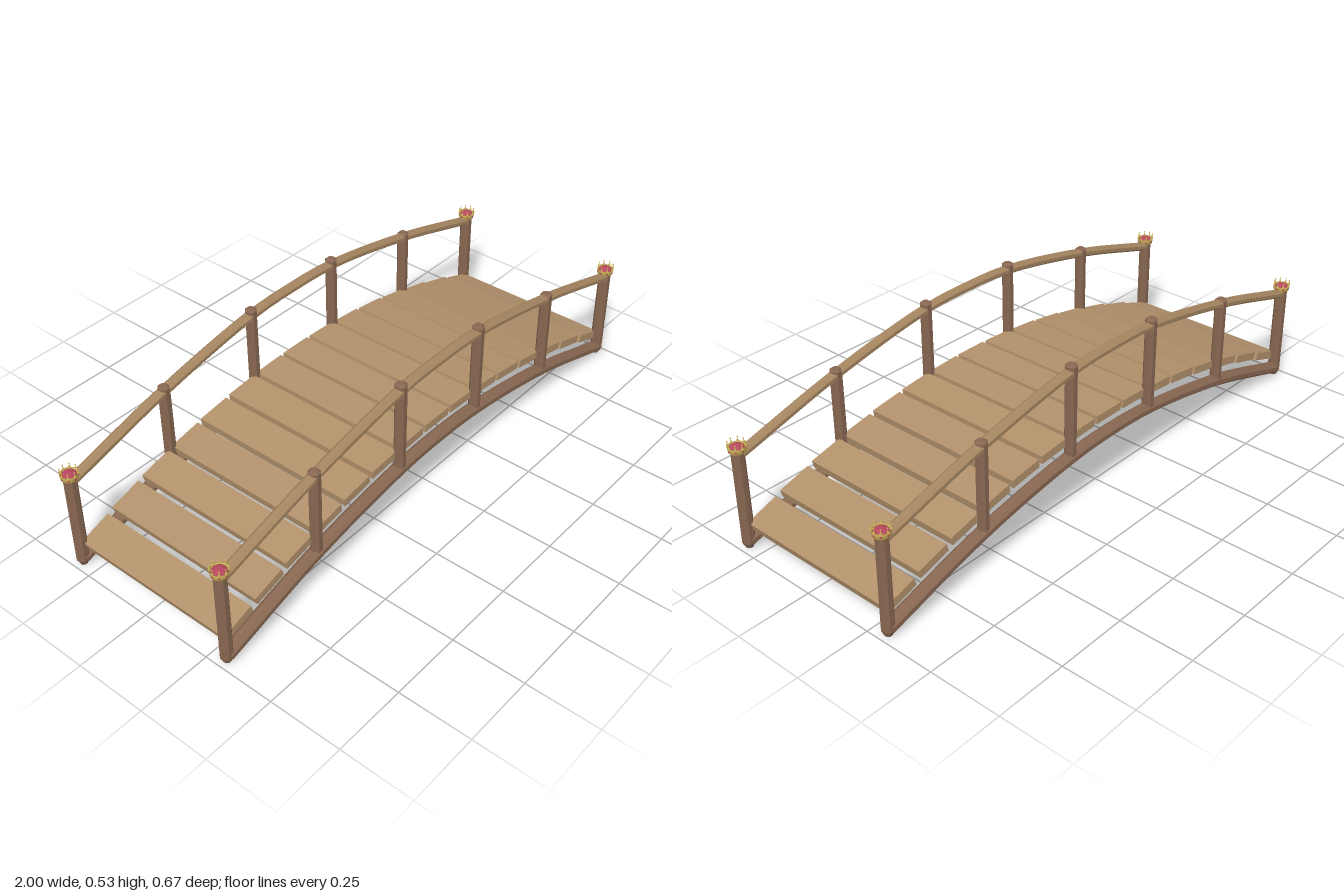
import * as THREE from 'three';

const mat = (name, color) => {
  const m = new THREE.MeshStandardMaterial({ color });
  m.name = name;
  return m;
};

// Split the faces apart so every facet is flat
const flat = (g) => {
  const out = g.index ? g.toNonIndexed() : g;
  out.computeVertexNormals();
  return out;
};

const add = (parent, name, geometry, material, x = 0, y = 0, z = 0) => {
  const mesh = new THREE.Mesh(geometry, material);
  mesh.name = name;
  mesh.position.set(x, y, z);
  parent.add(mesh);
  return mesh;
};

const OCT = Math.cos(Math.PI / 8);

// Octagonal bar swept along a curve in the xy plane
function bar(curve, halfHeight, halfWidth, steps = 30) {
  const pos = [], idx = [], sides = 8;
  for (let i = 0; i <= steps; i++) {
    const p = curve.getPointAt(i / steps), t = curve.getTangentAt(i / steps);
    for (let j = 0; j < sides; j++) {
      const a = ((j + 0.5) / sides) * Math.PI * 2;
      const n = (Math.cos(a) * halfHeight) / OCT;
      pos.push(p.x - t.y * n, p.y + t.x * n, (Math.sin(a) * halfWidth) / OCT);
    }
  }
  for (let i = 0; i < steps; i++) {
    for (let j = 0; j < sides; j++) {
      const a = i * sides + j, b = i * sides + ((j + 1) % sides);
      idx.push(a, b, b + sides, a, b + sides, a + sides);
    }
  }
  const last = steps * sides;
  for (let j = 1; j < sides - 1; j++) {
    idx.push(0, j + 1, j, last, last + j, last + j + 1);
  }
  const g = new THREE.BufferGeometry();
  g.setAttribute('position', new THREE.Float32BufferAttribute(pos, 3));
  g.setIndex(idx);
  return flat(g);
}

// Octagonal post with bevelled ends
function post(bottom, top, r, bevelBottom, bevelTop) {
  const R = r / OCT;
  const profile = [
    [0, bottom], [R * 0.55, bottom], [R, bottom + bevelBottom],
    [R, top - bevelTop], [R * 0.6, top], [0, top],
  ].map(([x, y]) => new THREE.Vector2(x, y));
  return flat(new THREE.LatheGeometry(profile, 8, Math.PI / 8));
}

// Symmetric arch through heights given at the post positions
const archCurve = (end, outer, inner, middle) => new THREE.CatmullRomCurve3([
  [-0.97, end], [-0.583, outer], [-0.194, inner], [0, middle],
  [0.194, inner], [0.583, outer], [0.97, end],
].map(([x, y]) => new THREE.Vector3(x, y, 0)));

function crown(gold, red) {
  const g = new THREE.Group();
  g.name = 'crown';
  // Flared band
  const band = [[0.02, 0], [0.0265, 0], [0.0285, 0.017], [0.0255, 0.017], [0.0245, 0.008]]
    .map(([x, y]) => new THREE.Vector2(x, y));
  add(g, 'crownBand', new THREE.LatheGeometry(band, 24), gold);
  // Domed cushion
  const cushion = new THREE.SphereGeometry(0.0245, 16, 6, 0, Math.PI * 2, 0, Math.PI / 2);
  cushion.scale(1, 0.6, 1);
  add(g, 'crownCushion', cushion, red, 0, 0.009, 0);
  const spike = flat(new THREE.ConeGeometry(0.0045, 0.014, 4));
  const bead = new THREE.SphereGeometry(0.0024, 8, 6);
  const gem = flat(new THREE.OctahedronGeometry(0.0045));
  for (let i = 0; i < 8; i++) {
    const a = (i / 8) * Math.PI * 2, s = Math.sin(a), c = Math.cos(a);
    add(g, 'crownSpike', spike, gold, s * 0.0265, 0.0235, c * 0.0265).rotation.y = a;
    add(g, 'crownBead', bead, gold, s * 0.0265, 0.032, c * 0.0265);
    const jewel = add(g, 'crownGem', gem, red, s * 0.0275, 0.0085, c * 0.0275);
    jewel.rotation.y = a;
    jewel.scale.z = 0.35;
  }
  return g;
}

export function createModel() {
  const model = new THREE.Group();
  model.name = 'archedFootbridge';
  const plankWood = mat('plankWood', 0xb2916b);
  const railWood = mat('railWood', 0xa58560);
  const postWood = mat('postWood', 0x886751);
  const gold = mat('gold', 0xd2b55c);
  const red = mat('red', 0xb5485c);

  // Deck planks following the arch
  const plankGeometry = new THREE.BoxGeometry(0.117, 0.028, 0.6);
  for (let i = -7; i <= 7; i++) {
    const x = i * 0.13;
    const plank = add(model, 'deckPlank', plankGeometry, plankWood, x, 0.271 - 0.212 * x * x, 0);
    plank.rotation.z = Math.atan(-0.37 * x);
  }

  // Both sides: lower beam, handrail, posts and crowns
  const beam = bar(archCurve(0.025, 0.138, 0.204, 0.213), 0.019, 0.0225);
  const rail = bar(archCurve(0.327, 0.434, 0.507, 0.515), 0.014, 0.018);
  const endPost = post(0, 0.347, 0.0195, 0.02, 0.003);
  const outerPost = post(0.122, 0.455, 0.0185, 0.005, 0.007);
  const innerPost = post(0.188, 0.534, 0.0185, 0.005, 0.007);
  for (const z of [-0.305, 0.305]) {
    add(model, 'archBeam', beam, postWood, 0, 0, z);
    add(model, 'handrail', rail, railWood, 0, 0, z);
    for (const side of [-1, 1]) {
      add(model, 'endPost', endPost, postWood, side * 0.97, 0, z);
      add(model, 'outerPost', outerPost, postWood, side * 0.583, 0, z);
      add(model, 'innerPost', innerPost, postWood, side * 0.194, 0, z);
      const c = crown(gold, red);
      c.position.set(side * 0.97, 0.344, z);
      model.add(c);
    }
  }
  return model;
}
